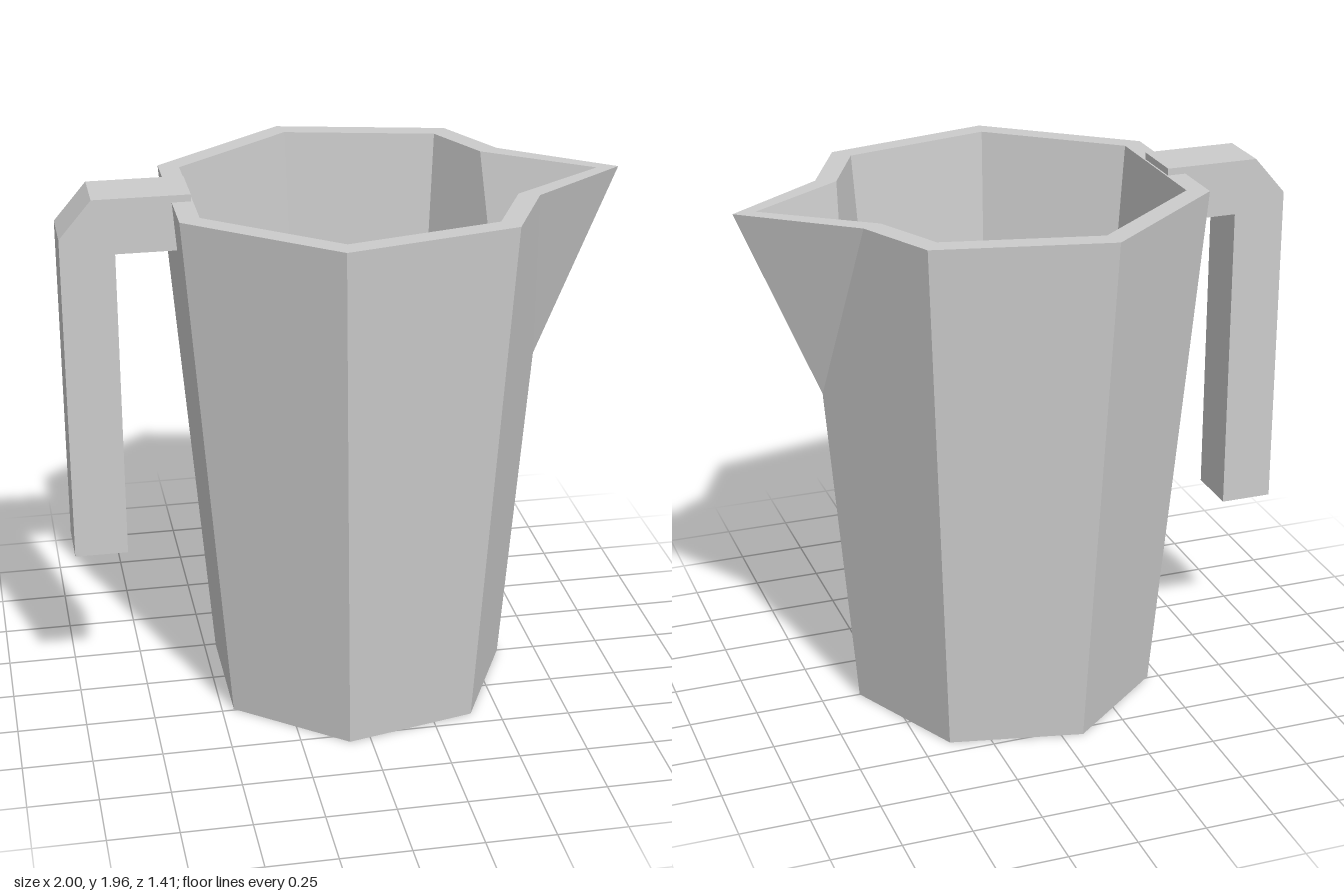
import * as THREE from 'three';

const SIDES = 7;
const RIM_Y = 1.93;
const material = new THREE.MeshStandardMaterial({ color: 0xcccccc, flatShading: true });

// Horizontal seven-sided ring with one corner pointing to +x
function ring(radius, cx, y) {
  return Array.from({ length: SIDES }, (_, k) => {
    const a = (k / SIDES) * Math.PI * 2;
    return new THREE.Vector3(cx + radius * Math.cos(a), y, radius * Math.sin(a));
  });
}

// Flat-shaded mesh from convex polygons, each fanned into triangles
function polygonMesh(name, polygons) {
  const points = [];
  for (const p of polygons) {
    for (let i = 1; i < p.length - 1; i++) points.push(p[0], p[i], p[i + 1]);
  }
  const geometry = new THREE.BufferGeometry().setFromPoints(points);
  geometry.computeVertexNormals();
  const mesh = new THREE.Mesh(geometry, material);
  mesh.name = name;
  return mesh;
}

// Tapered wall whose +x corner is pulled out into a pouring spout
function spoutedWall(bottom, top, spoutStart, tipX, frontZ, backZ) {
  const root = bottom[0].clone().lerp(top[0], spoutStart);
  const tip = new THREE.Vector3(tipX, RIM_Y, 0);
  const front = top[1].clone().lerp(top[0], 1 - frontZ / top[1].z);
  const back = top[6].clone().lerp(top[0], 1 - backZ / top[6].z);
  const faces = [
    [bottom[1], bottom[0], root, front, top[1]],
    [bottom[0], bottom[6], top[6], back, root],
    [root, tip, front],
    [root, back, tip],
  ];
  for (let k = 1; k < SIDES - 1; k++) {
    faces.push([bottom[k + 1], bottom[k], top[k], top[k + 1]]);
  }
  return { faces, outline: [tip, front, ...top.slice(1), back] };
}

export function createModel() {
  const model = new THREE.Group();
  model.name = 'jug';

  const outerBase = ring(0.559, 0.047, 0);
  const innerBase = ring(0.472, 0.042, 0.08);
  const outer = spoutedWall(outerBase, ring(0.723, 0.04, RIM_Y), 0.64, 0.995, 0.26, -0.29);
  const inner = spoutedWall(innerBase, ring(0.641, 0.039, RIM_Y), 0.55, 0.915, 0.23, -0.26);
  const reversed = (p) => [...p].reverse();

  // Body: outside with its base, inside with its floor
  model.add(polygonMesh('outerWall', [...outer.faces, outerBase]));
  model.add(polygonMesh('innerWall', [...inner.faces.map(reversed), reversed(innerBase)]));

  // Flat rim joining the two walls
  const rim = outer.outline.map((o, i) => {
    const j = (i + 1) % outer.outline.length;
    return [outer.outline[j], o, inner.outline[i], inner.outline[j]];
  });
  model.add(polygonMesh('rim', rim));

  // Hooked handle with a bevelled outer corner
  const profile = new THREE.Shape([
    [-1, 0.615], [-0.81, 0.615], [-0.81, 1.757], [-0.545, 1.757],
    [-0.545, 1.955], [-0.885, 1.955], [-1, 1.82],
  ].map(([x, y]) => new THREE.Vector2(x, y)));
  const handleGeometry = new THREE.ExtrudeGeometry(profile, { depth: 0.206, bevelEnabled: false });
  handleGeometry.translate(0, 0, -0.103);
  const handle = new THREE.Mesh(handleGeometry, material);
  handle.name = 'handle';
  model.add(handle);

  return model;
}
